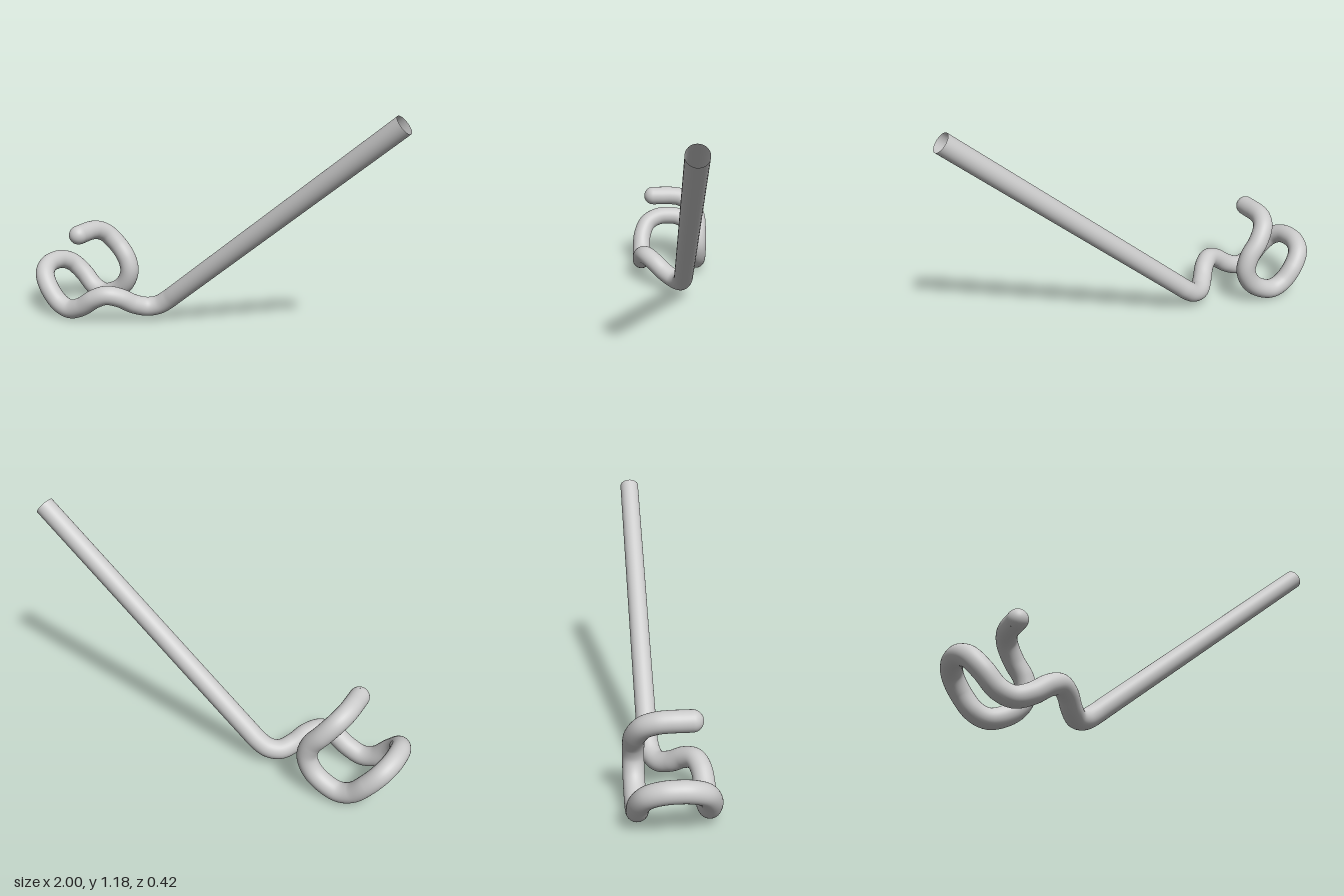
import * as THREE from 'three';

const RADIUS = 0.05;

export function createModel() {
  const model = new THREE.Group();
  model.name = 'bentRod';
  const material = new THREE.MeshStandardMaterial({ color: 0xcccccc, side: THREE.DoubleSide });

  // Front half of the cradle; its outer bend is mirrored to the back
  const loop = [
    [-0.65, 0.083, 0.158], [-0.73, 0.055, 0.158], [-0.8, 0.078, 0.158],
    [-0.87, 0.15, 0.153], [-0.922, 0.211, 0.12], [-0.947, 0.24, 0.06],
  ];
  const mirrored = loop.slice(1).reverse().map(([x, y, z]) => [x, y, -z]);

  const path = [
    // straight shank
    [0.966, 1.145, -0.067], [-0.2, 0.17, -0.067], [-0.25, 0.128, -0.066],
    // dip and hump leading sideways to the cradle
    [-0.305, 0.09, -0.054], [-0.36, 0.079, -0.025], [-0.41, 0.102, 0.03],
    [-0.455, 0.143, 0.085], [-0.51, 0.161, 0.13], [-0.57, 0.138, 0.152],
    // cradle, front side, outer bend and back side
    ...loop, [-0.952, 0.246, 0], ...mirrored,
    // inner prong, turning forward at its top
    [-0.64, 0.088, -0.158], [-0.585, 0.14, -0.158], [-0.56, 0.21, -0.158],
    [-0.578, 0.28, -0.158], [-0.63, 0.35, -0.153], [-0.681, 0.415, -0.118],
    [-0.704, 0.442, -0.065], [-0.71, 0.449, -0.01], [-0.71, 0.449, 0.04], [-0.71, 0.449, 0.088],
  ].map((p) => new THREE.Vector3(...p));

  const curve = new THREE.CatmullRomCurve3(path, false, 'centripetal');
  curve.arcLengthDivisions = 2000;
  const rod = new THREE.Mesh(new THREE.TubeGeometry(curve, 320, RADIUS, 32), material);
  rod.name = 'rod';
  model.add(rod);

  // Rounded tip; the shank end stays open
  const cap = new THREE.SphereGeometry(RADIUS, 32, 12, 0, Math.PI * 2, 0, Math.PI / 2);
  cap.rotateX(Math.PI / 2);
  const tip = new THREE.Mesh(cap, material);
  tip.name = 'roundedTip';
  tip.position.copy(path[path.length - 1]);
  model.add(tip);

  return model;
}
